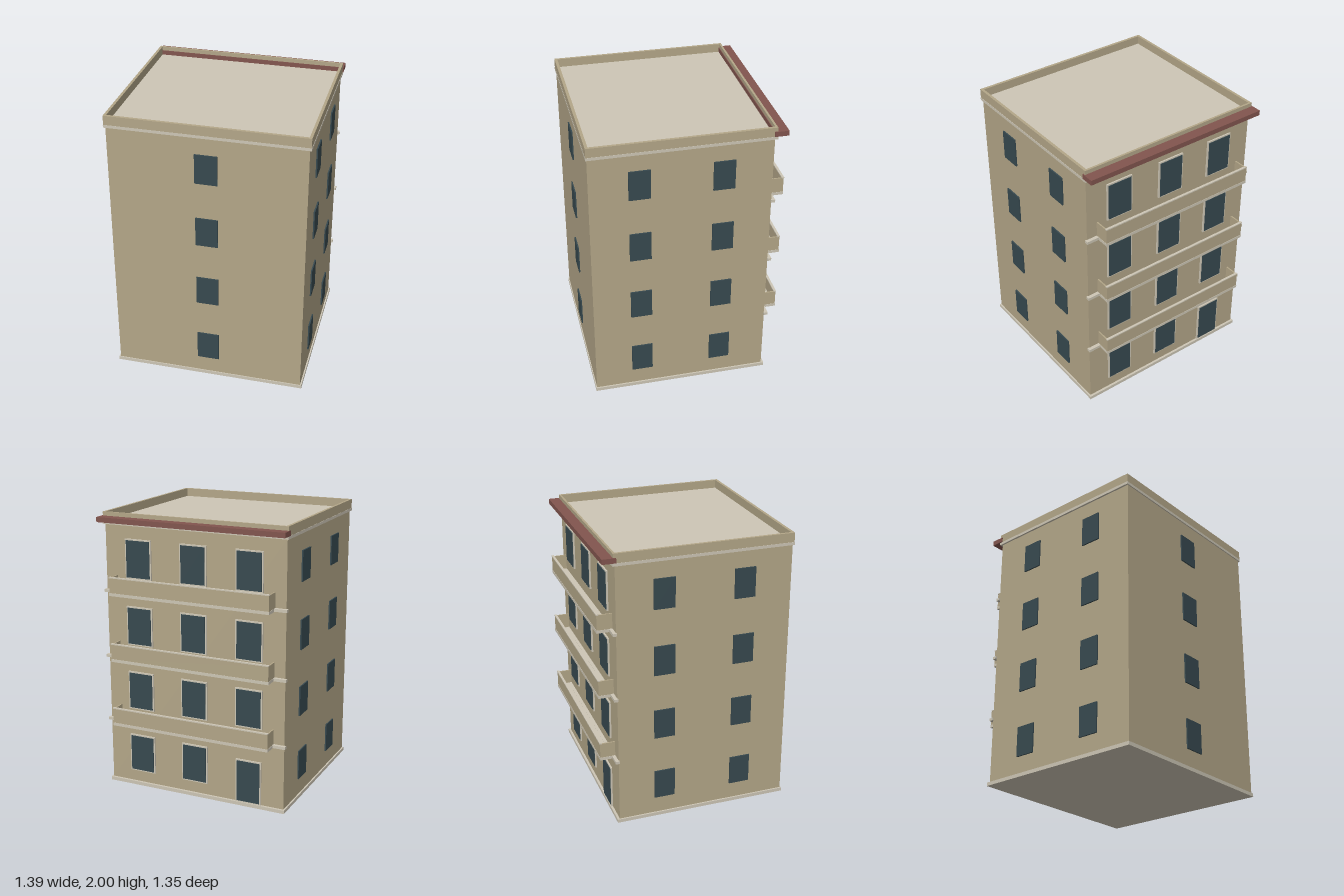
import * as THREE from 'three';

export function createModel() {
  const material = (name, color) => {
    const m = new THREE.MeshStandardMaterial({ color });
    m.name = name;
    return m;
  };
  const wall = material('khaki plaster', 0xb3a688);
  const trim = material('pale stone', 0xcdc6b5);
  const glass = material('dark glass', 0x37494f);
  const tile = material('red brown tile', 0x82554e);

  const model = new THREE.Group();
  model.name = 'apartmentBlock';

  // Box given by its lower and upper corner
  const box = (name, mat, [x0, y0, z0], [x1, y1, z1], parent = model) => {
    const mesh = new THREE.Mesh(new THREE.BoxGeometry(x1 - x0, y1 - y0, z1 - z0), mat);
    mesh.position.set((x0 + x1) / 2, (y0 + y1) / 2, (z0 + z1) / 2);
    mesh.name = name;
    parent.add(mesh);
    return mesh;
  };

  const W = 0.677, FRONT = 0.667, BACK = -0.567;   // wall faces
  const OUT = 0.688, OUT_FRONT = 0.674, OUT_BACK = -0.58; // trim faces
  const STOREY = 0.478;

  // Main block with base and cornice
  box('baseTrim', trim, [-OUT, 0, OUT_BACK - 0.004], [OUT, 0.025, OUT_FRONT]);
  box('walls', wall, [-W, 0.025, BACK], [W, 1.915, FRONT]);
  box('cornice', trim, [-OUT - 0.002, 1.915, OUT_BACK - 0.004], [OUT + 0.002, 1.935, OUT_FRONT + 0.001]);

  // Flat roof inside a parapet
  const IN = 0.669, IN_FRONT = 0.654, IN_BACK = -0.565;
  box('roofDeck', trim, [-IN, 1.935, IN_BACK], [IN, 1.94, IN_FRONT]);
  for (const s of [-1, 1]) {
    const xs = [s * IN, s * OUT].sort((a, b) => a - b);
    box('sideParapet', wall, [xs[0], 1.935, OUT_BACK], [xs[1], 2, OUT_FRONT]);
  }
  box('frontParapet', wall, [-IN, 1.935, IN_FRONT], [IN, 2, OUT_FRONT]);
  box('backParapet', wall, [-IN, 1.935, OUT_BACK], [IN, 2, IN_BACK]);
  box('eave', tile, [-0.695, 1.937, -0.655], [0.695, 1.972, -0.56]);

  // Back window: stone surround with a glass pane
  const backOpening = (name, x, y0, y1, w) => {
    const g = new THREE.Group();
    g.name = name;
    model.add(g);
    box('surround', trim, [x - w / 2, y0, -0.578], [x + w / 2, y1, BACK], g);
    box('pane', glass, [x - w / 2 + 0.01, y0 + 0.01, -0.583], [x + w / 2 - 0.01, y1 - 0.01, -0.578], g);
  };

  for (let floor = 0; floor < 4; floor++) {
    const y = floor * STOREY;

    // Plain windows on the front and both sides
    const y0 = 0.148 + y, y1 = 0.361 + y;
    box('frontWindow', glass, [-0.078, y0, FRONT], [0.078, y1, FRONT + 0.0095]);
    for (const z of [0.331, -0.235]) {
      box('leftWindow', glass, [W, y0, z - 0.074], [W + 0.0098, y1, z + 0.074]);
      box('rightWindow', glass, [-W - 0.0098, y0, z - 0.074], [-W, y1, z + 0.074]);
    }

    // Back windows, with a door on the ground floor
    for (const x of [0.42, 0, -0.415]) {
      if (floor === 0 && x < 0) backOpening('door', x, 0.025, 0.345, 0.19);
      else backOpening('backWindow', x, 0.11 + y, 0.39 + y, 0.2);
    }

    // Balcony and string course on the upper floors
    if (floor === 0) continue;
    const b = new THREE.Group();
    b.name = 'balcony';
    b.position.y = y;
    model.add(b);
    box('stringCourse', trim, [-OUT - 0.002, 0, -0.591], [OUT + 0.002, 0.02, BACK + 0.004], b);
    box('slab', trim, [-0.6, -0.002, -0.676], [0.6, 0.019, BACK], b);
    box('frontPanel', wall, [-0.598, 0.019, -0.674], [0.598, 0.124, -0.664], b);
    box('handrail', trim, [-0.6, 0.124, -0.677], [0.6, 0.132, -0.66], b);
    for (const s of [-1, 1]) {
      box('sidePanel', wall, [s * 0.593 - 0.005, 0.019, -0.664], [s * 0.593 + 0.005, 0.126, BACK], b);
    }
  }
  return model;
}
